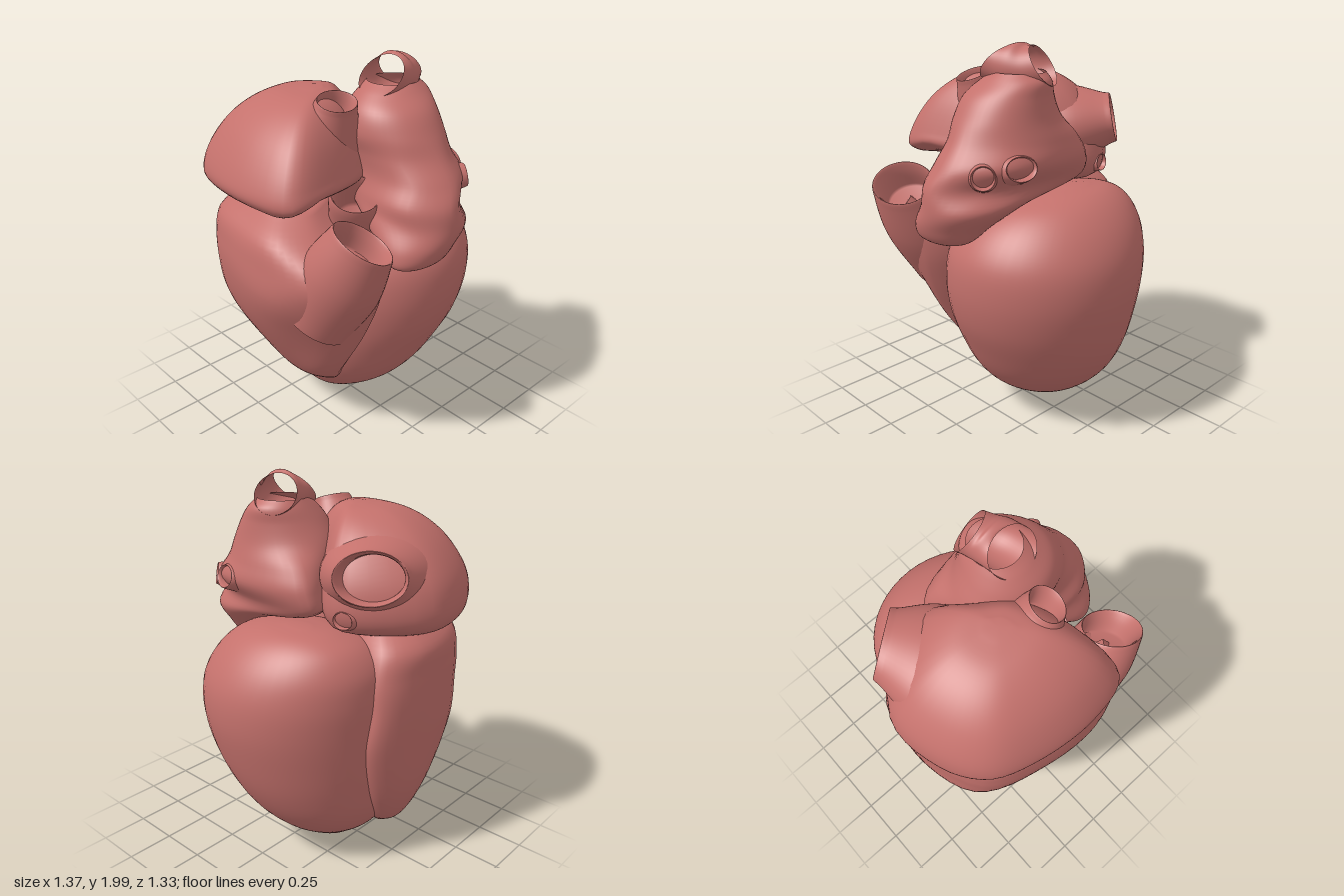
import * as THREE from 'three';

const V = (a) => new THREE.Vector3(...a);
const SEG = 48;
const material = new THREE.MeshStandardMaterial({ color: 0xc4716c, roughness: 0.8, side: THREE.DoubleSide });

// Elliptical ring around a normal
function ring(center, normal, ru, rv) {
  const n = V(normal).normalize();
  const u = n.y > 0.99 ? V([1, 0, 0]) : new THREE.Vector3(0, 1, 0).cross(n).normalize();
  const v = n.clone().cross(u);
  return Array.from({ length: SEG }, (_, i) => {
    const a = (i / SEG) * Math.PI * 2;
    return center.clone().addScaledVector(u, ru * Math.cos(a)).addScaledVector(v, rv * Math.sin(a));
  });
}

// Horizontal ring through a few [x, z] points
function outline(y, points) {
  const curve = new THREE.CatmullRomCurve3(points.map(([x, z]) => V([x, y, z])).reverse(), true);
  return Array.from({ length: SEG }, (_, i) => curve.getPoint(i / SEG));
}

// Smooth skin over a list of rings, with optional closed ends
function loft(name, rings, capStart = true, capEnd = true, sub = 6) {
  const rows = (rings.length - 1) * sub + 1;
  const pos = [], idx = [];
  const columns = Array.from({ length: SEG }, (_, i) =>
    new THREE.CatmullRomCurve3(rings.map((r) => r[i])));
  for (let j = 0; j < rows; j++)
    for (const c of columns) pos.push(...c.getPoint(j / (rows - 1)).toArray());
  for (let j = 0; j < rows - 1; j++)
    for (let i = 0; i < SEG; i++) {
      const k = (i + 1) % SEG;
      const a = j * SEG + i, b = j * SEG + k;
      idx.push(a, b, b + SEG, a, b + SEG, a + SEG);
    }
  const cap = (r, row, flip) => {
    const c = r.reduce((s, p) => s.add(p), new THREE.Vector3()).divideScalar(SEG);
    const m = pos.length / 3;
    pos.push(c.x, c.y, c.z);
    for (let i = 0; i < SEG; i++) {
      const a = row * SEG + i, b = row * SEG + ((i + 1) % SEG);
      idx.push(m, ...(flip ? [b, a] : [a, b]));
    }
  };
  if (capStart) cap(rings[0], 0, true);
  if (capEnd) cap(rings[rings.length - 1], rows - 1, false);
  const g = new THREE.BufferGeometry();
  g.setAttribute('position', new THREE.Float32BufferAttribute(pos, 3));
  g.setIndex(idx);
  g.computeVertexNormals();
  const mesh = new THREE.Mesh(g, material);
  mesh.name = name;
  return mesh;
}

// Loft from rows of [y, cx, cz, rx, rz] or [y, outline points]
const stack = (name, rows, capEnd = true) =>
  loft(name, rows.map((r) => {
    if (r.length === 2) return outline(...r);
    const [y, x, z, rx, rz] = r;
    return ring(V([x, y, z]), [0, 1, 0], rx, rz);
  }), true, capEnd);

// Hollow vessel with a rounded lip, running from base to mouth
function vessel(name, base, mouth, n, ru, rv, { mid = 1.08, flare = 1.3, depth = 0.5 } = {}) {
  const steps = [[1, flare], [0.45, mid], [0.08, 1.02], [0, 0.93], [0.08, 0.83], [depth, 0.78]];
  return loft(name, steps.map(([t, s]) =>
    ring(V(mouth).lerp(V(base), t), n, ru * s, rv * s)), false, true);
}

export function createModel() {
  const heart = new THREE.Group();
  heart.name = 'heart';

  // Large egg-shaped ventricle
  heart.add(stack('leftVentricle', [
    [0.003, 0.03, -0.12, 0.03, 0.03],
    [0.035, 0.04, -0.12, 0.13, 0.11],
    [0.1, 0.05, -0.1, 0.23, 0.21],
    [0.19, 0.075, -0.085, 0.325, 0.32],
    [0.3, 0.1, -0.06, 0.4, 0.39],
    [0.45, 0.125, -0.03, 0.46, 0.445],
    [0.63, 0.15, 0.0, 0.495, 0.495],
    [0.82, 0.17, 0.01, 0.51, 0.52],
    [0.98, 0.185, 0, 0.485, 0.515],
    [1.11, 0.205, -0.03, 0.41, 0.465],
    [1.21, 0.24, -0.06, 0.29, 0.365],
    [1.265, 0.28, -0.09, 0.16, 0.22],
    [1.288, 0.29, -0.1, 0.04, 0.06],
  ]));

  // Ventricle wrapped around the back and side
  heart.add(stack('rightVentricle', [
    [0.15, [[-0.12, -0.2], [-0.14, -0.25], [-0.15, -0.3], [-0.13, -0.36], [-0.08, -0.4], [-0.02, -0.42], [0.0, -0.38], [-0.05, -0.25]]],
    [0.22, [[-0.2, 0.08], [-0.27, 0], [-0.3, -0.12], [-0.27, -0.3], [-0.19, -0.44], [-0.02, -0.51], [0.06, -0.44], [-0.05, -0.1]]],
    [0.4, [[-0.3, 0.24], [-0.39, 0.17], [-0.43, -0.02], [-0.41, -0.27], [-0.33, -0.48], [-0.05, -0.59], [0.16, -0.48], [-0.05, 0]]],
    [0.7, [[-0.27, 0.4], [-0.43, 0.36], [-0.58, 0.1], [-0.58, -0.22], [-0.46, -0.52], [-0.05, -0.62], [0.24, -0.51], [0, 0]]],
    [0.92, [[-0.23, 0.46], [-0.46, 0.46], [-0.65, 0.2], [-0.64, -0.18], [-0.51, -0.5], [-0.05, -0.63], [0.22, -0.53], [0, 0]]],
    [1.06, [[-0.24, 0.46], [-0.47, 0.5], [-0.64, 0.24], [-0.64, -0.17], [-0.51, -0.5], [-0.05, -0.63], [0.2, -0.52], [0, 0]]],
    [1.19, [[-0.25, 0.2], [-0.46, 0.27], [-0.61, 0.16], [-0.61, -0.14], [-0.5, -0.47], [-0.05, -0.62], [0.15, -0.5], [-0.05, 0]]],
    [1.3, [[-0.25, 0.05], [-0.38, 0.1], [-0.48, 0.02], [-0.48, -0.12], [-0.38, -0.35], [-0.08, -0.5], [0.05, -0.4], [-0.1, -0.05]]],
  ]));

  // Outflow trunk with a three-sided valve inside
  const n = [0.35, 0.85, 0.35];
  heart.add(vessel('outflowTrunk', [-0.42, 0.75, 0.2], [-0.385, 1.275, 0.495], n, 0.165, 0.165,
    { mid: 1.26, flare: 1.1, depth: 0.25 }));
  const valve = new THREE.Mesh(new THREE.ConeGeometry(0.11, 0.1, 3), material);
  valve.name = 'outflowValve';
  valve.position.set(-0.4, 1.15, 0.43);
  valve.quaternion.setFromUnitVectors(V([0, 1, 0]), V(n).normalize());
  heart.add(valve);

  // Central vessel root between the chambers
  heart.add(vessel('centralVesselRoot', [-0.05, 1.0, 0.1], [-0.2, 1.38, 0.25], [-0.3, 0.8, 0.5], 0.13, 0.11));

  // Front atrium
  heart.add(stack('frontAtrium', [
    [1.04, -0.05, 0.5, 0.06, 0.04],
    [1.08, -0.03, 0.5, 0.17, 0.11],
    [1.15, 0.0, 0.47, 0.205, 0.175],
    [1.25, 0.06, 0.38, 0.235, 0.28],
    [1.35, [[0.25, 0.47], [0.06, 0.65], [-0.13, 0.52], [-0.13, 0.22], [-0.02, -0.02], [0.14, -0.15], [0.28, -0.16], [0.32, 0.18]]],
    [1.45, [[0.31, 0.46], [0.1, 0.6], [-0.08, 0.5], [-0.11, 0.22], [-0.02, -0.03], [0.14, -0.14], [0.3, -0.15], [0.375, 0.2]]],
    [1.55, [[0.29, 0.4], [0.1, 0.53], [-0.08, 0.42], [-0.12, 0.2], [-0.05, -0.02], [0.12, -0.12], [0.28, -0.1], [0.355, 0.17]]],
    [1.65, 0.09, 0.19, 0.235, 0.28],
    [1.75, 0.095, 0.185, 0.215, 0.22],
    [1.82, 0.125, 0.165, 0.18, 0.16],
    [1.86, 0.135, 0.155, 0.13, 0.125],
  ], false));

  // Double-mouthed crown of the front atrium
  const crown = [
    [[0.035, 1.893, 0.17], [0.75, -0.66, 0], 0.128, 0.118],
    [[0.075, 1.887, 0.165], [0.9, -0.4, 0], 0.125, 0.11],
    [[0.145, 1.88, 0.15], [1, 0, -0.1], 0.122, 0.113],
    [[0.2, 1.882, 0.125], [0.9, 0.35, -0.2], 0.115, 0.106],
    [[0.24, 1.89, 0.1], [0.78, 0.52, -0.33], 0.11, 0.108],
  ];
  heart.add(loft('atriumCrown', crown.map(([c, d, ru, rv]) => ring(V(c), d, ru, rv)), false, false));

  // Side vein openings of the front atrium
  heart.add(vessel('upperVein', [0.22, 1.44, 0.32], [0.365, 1.46, 0.36], [0.88, 0.3, 0.25], 0.085, 0.062,
    { mid: 1.25, flare: 1.7, depth: 0.35 }));
  heart.add(vessel('lowerVein', [0.16, 1.41, 0.41], [0.28, 1.43, 0.52], [0.75, 0.15, 0.55], 0.06, 0.06,
    { mid: 1.25, flare: 1.7, depth: 0.35 }));

  // Back atrium: one outline scaled level by level, underside lifted at the front and side
  const plan = [[0.25, -0.3], [0.1, -0.04], [-0.08, 0.18], [-0.36, 0.285], [-0.61, 0.28],
    [-0.68, 0.05], [-0.65, -0.28], [-0.56, -0.5], [-0.35, -0.63], [-0.04, -0.65]];
  const levels = [[1.22, 0.45], [1.25, 0.75], [1.29, 0.93], [1.36, 1], [1.5, 0.965],
    [1.65, 0.8], [1.75, 0.6], [1.81, 0.37], [1.83, 0.1]];
  const back = levels.map(([y, s]) => {
    const low = y < 1.4;
    const [cx, cz] = low ? [-0.2, -0.3] : [-0.15, -0.08];
    const r = outline(y, plan.map(([x, z]) => [cx + (x - cx) * s, cz + (z - cz) * s]));
    if (low) r.forEach((p) => {
      const side = 0.4 * Math.max(0, -p.x - 0.4);
      const front = 0.33 * Math.max(0, p.z + 0.2) * THREE.MathUtils.clamp((p.x + 0.62) * 5, 0, 1);
      p.y += 4 * (1.5 - y) * (side + front);
    });
    return r;
  });
  heart.add(loft('backAtrium', back));

  // Great vein openings of the back atrium
  heart.add(vessel('upperGreatVein', [-0.22, 1.48, -0.02], [-0.22, 1.815, 0.145], [-0.1, 0.92, 0.35], 0.105, 0.09,
    { mid: 1.55, flare: 2.3, depth: 0.3 }));
  heart.add(vessel('lowerGreatVein', [-0.2, 1.48, -0.25], [0.21, 1.57, -0.47], [0.76, 0.2, -0.6], 0.185, 0.135,
    { mid: 1.52, flare: 1.8, depth: 0.28 }));
  heart.add(vessel('smallVein', [0.08, 1.34, -0.32], [0.25, 1.35, -0.34], [0.9, 0.1, -0.2], 0.055, 0.045,
    { mid: 1.3, flare: 1.8 }));

  return heart;
}
